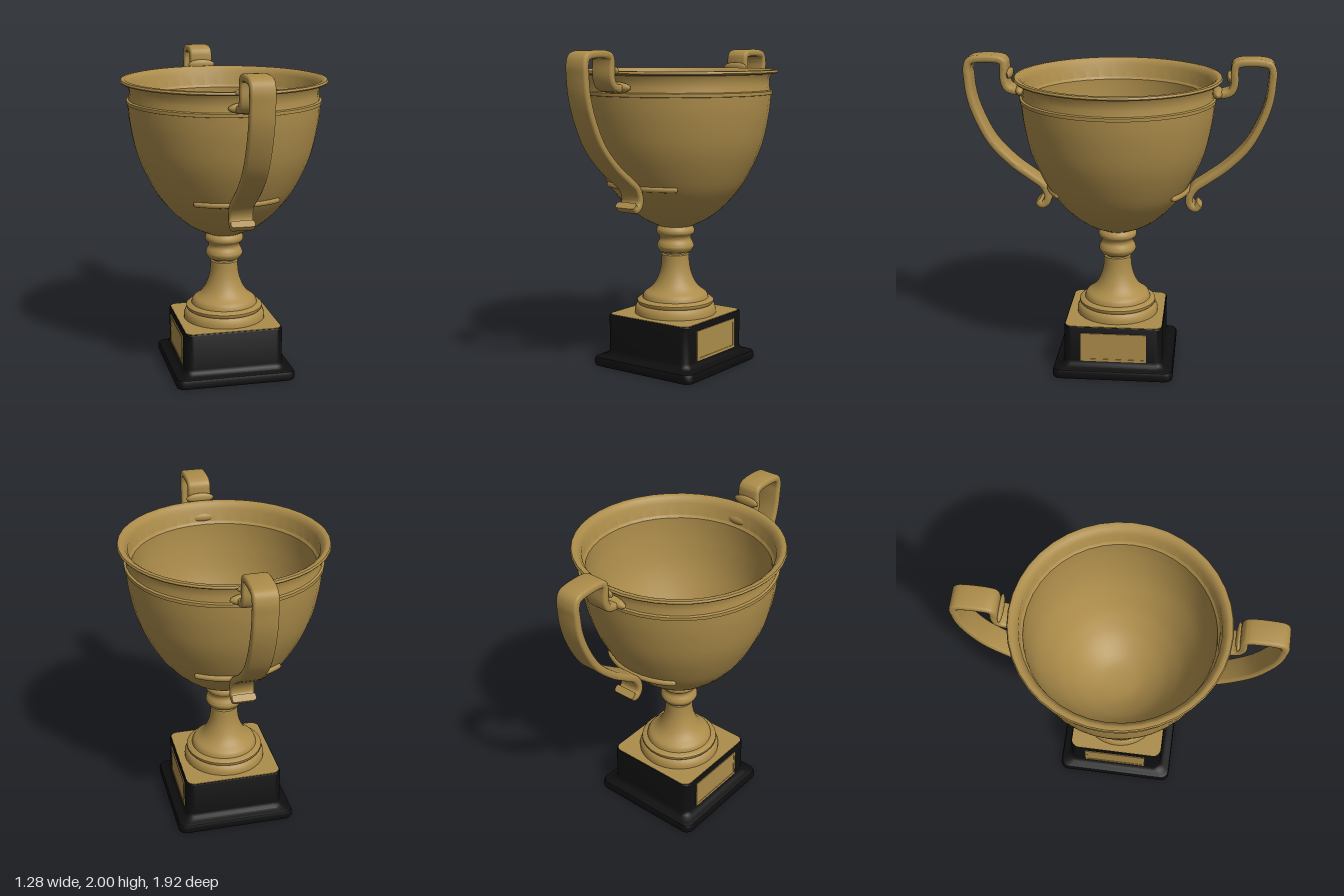
import * as THREE from 'three';
import { toCreasedNormals } from 'three/addons/utils/BufferGeometryUtils.js';

const gold = new THREE.MeshStandardMaterial({ color: 0xac8c4a });
gold.name = 'gold';
const black = new THREE.MeshStandardMaterial({ color: 0x0e0e0e });
black.name = 'black';

function mesh(name, geometry, material, parent) {
  const m = new THREE.Mesh(geometry, material);
  m.name = name;
  parent.add(m);
  return m;
}

// Counter-clockwise outline of a rounded rectangle, as [u, v] pairs
function roundRect(halfW, halfH, r, steps) {
  const points = [];
  [[1, 1], [-1, 1], [-1, -1], [1, -1]].forEach(([sx, sy], q) => {
    for (let i = 0; i <= steps; i++) {
      const a = (q + i / steps) * Math.PI / 2;
      points.push([sx * (halfW - r) + r * Math.cos(a), sy * (halfH - r) + r * Math.sin(a)]);
    }
  });
  return points;
}

// Skin over a list of equal rings, closed at both ends
function loft(rings, crease = 0.6) {
  const pos = [];
  const tri = (...corners) => corners.forEach((c) => pos.push(c.x, c.y, c.z));
  const n = rings[0].length;
  const last = rings[rings.length - 1];
  for (let i = 0; i < rings.length - 1; i++) {
    const p = rings[i], q = rings[i + 1];
    for (let j = 0; j < n; j++) {
      const k = (j + 1) % n;
      tri(p[j], p[k], q[j]);
      tri(p[k], q[k], q[j]);
    }
  }
  for (let j = 1; j < n - 1; j++) {
    tri(rings[0][0], rings[0][j + 1], rings[0][j]);
    tri(last[0], last[j], last[j + 1]);
  }
  const g = new THREE.BufferGeometry();
  g.setAttribute('position', new THREE.Float32BufferAttribute(pos, 3));
  return toCreasedNormals(g, crease);
}

// Rounded-square block from [half width, y] levels
function squareBlock(levels, r) {
  return loft(levels.map(([h, y]) =>
    roundRect(h, h, r, 6).map(([u, v]) => new THREE.Vector3(v, y, u))));
}

// Turned part from [radius, y] points
function turned(points) {
  return toCreasedNormals(new THREE.LatheGeometry(points.map(([r, y]) => new THREE.Vector2(r, y)), 40), 0.7);
}

function smooth(points, count) {
  return new THREE.SplineCurve(points.map(([r, y]) => new THREE.Vector2(r, y)))
    .getPoints(count).map((p) => [p.x, p.y]);
}

function makeBase() {
  const base = new THREE.Group();
  base.name = 'base';
  base.position.z = 0.012;
  mesh('plinth', squareBlock([[0.378, 0], [0.382, 0.01], [0.382, 0.04], [0.376, 0.055], [0.36, 0.062],
    [0.335, 0.066], [0.32, 0.08], [0.314, 0.1], [0.314, 0.322], [0.31, 0.329]], 0.05), black, base);
  mesh('baseTopPlate', squareBlock([[0.306, 0.325], [0.306, 0.332]], 0.05), gold, base);

  // Framed plate on each side of the block
  const frame = new THREE.Shape([[-0.208, -0.095], [0.208, -0.095], [0.208, 0.095], [-0.208, 0.095]]
    .map(([x, y]) => new THREE.Vector2(x, y)));
  frame.holes.push(new THREE.Path([[-0.192, -0.079], [-0.192, 0.079], [0.192, 0.079], [0.192, -0.079]]
    .map(([x, y]) => new THREE.Vector2(x, y))));
  for (const side of [1, -1]) {
    const plaque = new THREE.Group();
    plaque.name = side > 0 ? 'leftPlaque' : 'rightPlaque';
    plaque.position.set(side * 0.312, 0.195, -0.004);
    plaque.rotation.y = side * Math.PI / 2;
    mesh('plaqueFrame', new THREE.ExtrudeGeometry(frame, { depth: 0.008, bevelEnabled: false }), gold, plaque);
    mesh('plaquePanel', new THREE.BoxGeometry(0.386, 0.16, 0.005), gold, plaque).position.z = 0.0025;
    base.add(plaque);
  }
  return base;
}

function makeHandle(name) {
  const handle = new THREE.Group();
  handle.name = name;

  // Strap path in z, y from the bowl, over the top and down to the scroll
  const path = new THREE.CatmullRomCurve3([
    [0.585, 1.785], [0.64, 1.783], [0.685, 1.8], [0.705, 1.845], [0.705, 1.93], [0.712, 1.962],
    [0.74, 1.976], [0.885, 1.976], [0.92, 1.962], [0.935, 1.92], [0.933, 1.86], [0.921, 1.75],
    [0.878, 1.614], [0.794, 1.455], [0.667, 1.323], [0.545, 1.233], [0.475, 1.18], [0.446, 1.116],
    [0.455, 1.072], [0.487, 1.054], [0.512, 1.08]
  ].map(([z, y]) => new THREE.Vector3(0, y, z)));
  const section = roundRect(0.074, 0.023, 0.016, 3);
  const rings = [];
  for (let i = 0; i <= 110; i++) {
    const p = path.getPoint(i / 110), t = path.getTangent(i / 110);
    rings.push(section.map(([u, v]) => new THREE.Vector3(u, p.y + v * t.z, p.z - v * t.y)));
  }
  mesh('handleStrap', loft(rings, 0.8), gold, handle);

  // Collar and foot where the strap meets the bowl
  const collar = mesh('handleCollar', new THREE.SphereGeometry(1, 20, 12), gold, handle);
  collar.scale.set(0.09, 0.032, 0.018);
  collar.position.set(0, 1.885, 0.675);
  const foot = mesh('handleFoot', new THREE.SphereGeometry(1, 20, 12), gold, handle);
  foot.scale.set(0.115, 0.035, 0.035);
  foot.position.set(0, 1.785, 0.605);

  // Rounded bar bent around the lower bowl
  const bar = new THREE.CapsuleGeometry(0.019, 0.53, 5, 10, 20).rotateZ(Math.PI / 2);
  const pos = bar.attributes.position;
  for (let i = 0; i < pos.count; i++) {
    const a = pos.getX(i) / 0.435, r = 0.435 + pos.getZ(i);
    pos.setXYZ(i, r * Math.sin(a), pos.getY(i) + 1.175, r * Math.cos(a));
  }
  bar.computeVertexNormals();
  mesh('handleBar', bar, gold, handle);
  return handle;
}

export function createModel() {
  const model = new THREE.Group();
  model.name = 'trophyCup';
  model.add(makeBase());

  // Stem: stepped foot, flared column and two beads
  mesh('stem', turned([
    [0.262, 0.33], [0.262, 0.355], [0.25, 0.385], [0.238, 0.392], [0.246, 0.402], [0.246, 0.415],
    [0.232, 0.425],
    ...smooth([[0.212, 0.43], [0.2, 0.46], [0.16, 0.49], [0.128, 0.53], [0.102, 0.59], [0.09, 0.65], [0.087, 0.71]], 18),
    [0.076, 0.715], [0.076, 0.724], [0.09, 0.728],
    ...smooth([[0.1, 0.73], [0.118, 0.76], [0.113, 0.785], [0.1, 0.81], [0.104, 0.832], [0.12, 0.85], [0.12, 0.875], [0.1, 0.9]], 20)
  ]), gold, model).position.z = 0.008;

  // Bowl: outside upward, over the rim, then down the inside
  mesh('bowl', turned([
    [0, 0.892], [0.1, 0.894],
    ...smooth([[0.11, 0.897], [0.2, 0.94], [0.282, 1], [0.37, 1.09], [0.448, 1.2], [0.54, 1.4], [0.585, 1.6], [0.598, 1.73]], 26),
    [0.606, 1.732], [0.606, 1.752], [0.592, 1.757], [0.586, 1.79], [0.588, 1.83], [0.6, 1.855],
    [0.636, 1.86], [0.642, 1.868], [0.636, 1.88], [0.615, 1.882], [0.6, 1.872],
    [0.578, 1.84], [0.574, 1.76], [0.56, 1.745],
    ...smooth([[0.56, 1.73], [0.55, 1.6], [0.508, 1.4], [0.415, 1.2], [0.335, 1.09], [0.25, 1.01], [0.13, 0.945], [0, 0.93]], 26)
  ]), gold, model).position.z = 0.005;

  model.add(makeHandle('frontHandle'));
  const back = makeHandle('backHandle');
  back.rotation.y = Math.PI;
  model.add(back);
  return model;
}
